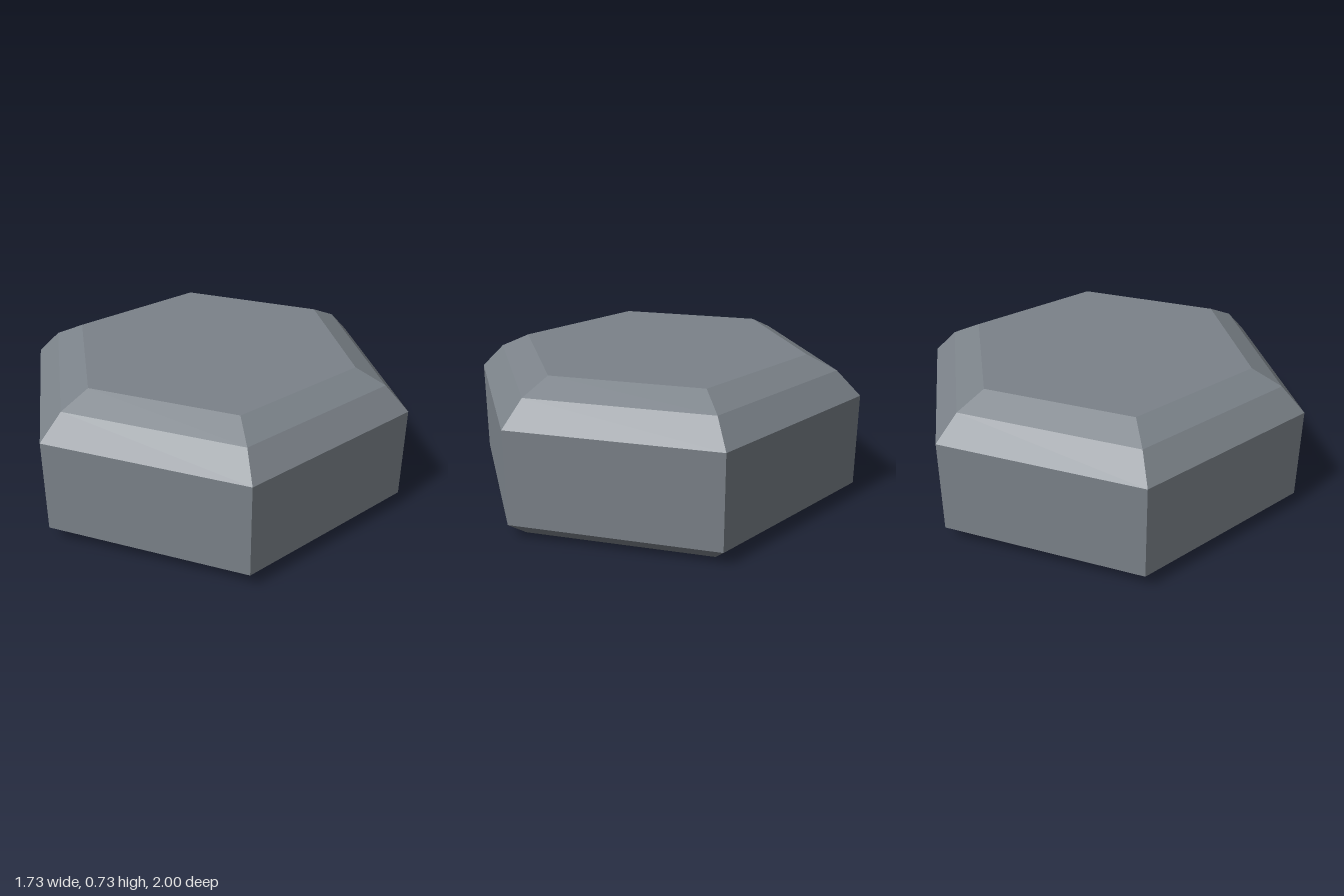
import * as THREE from 'three';

export function createModel() {
  const model = new THREE.Group();
  model.name = 'hexagonalStone';

  const slateGrey = new THREE.MeshStandardMaterial({ color: 0x7b8289, flatShading: true });
  slateGrey.name = 'slateGrey';

  // Profile from the underside, past the lower chamfer and wall, over two upper bevels
  const profile = [
    [0, 0], [0.9, 0], [1, 0.075], [1, 0.54], [0.88, 0.66], [0.73, 0.73], [0, 0.73],
  ].map(([r, y]) => new THREE.Vector2(r, y));

  // Six sides, with corners pointing to the front and back
  const block = new THREE.Mesh(new THREE.LatheGeometry(profile, 6), slateGrey);
  block.name = 'bevelledBlock';
  model.add(block);

  return model;
}
